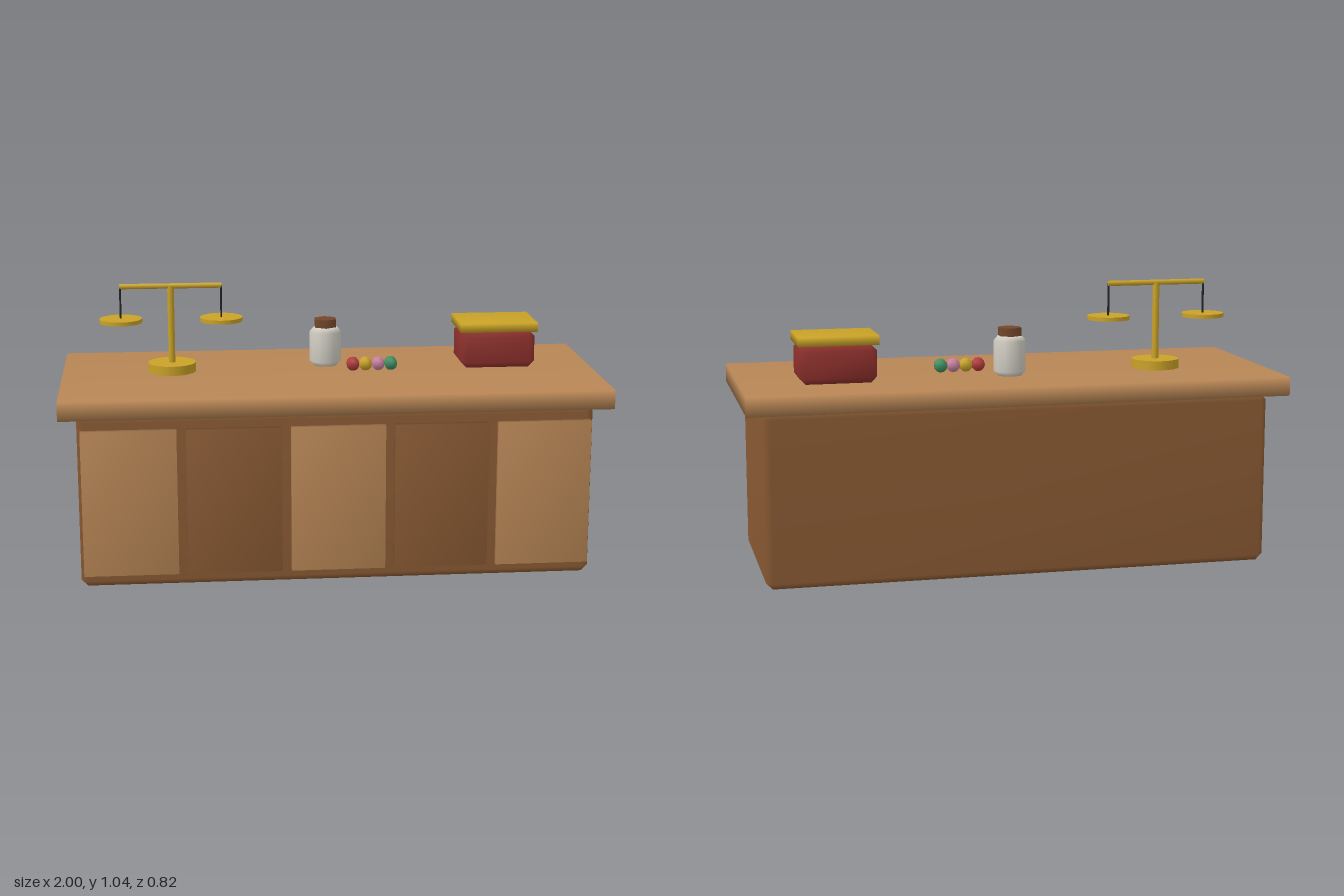
import * as THREE from 'three';
import { mergeVertices } from 'three/addons/utils/BufferGeometryUtils.js';
import { ConvexGeometry } from 'three/addons/geometries/ConvexGeometry.js';

const paint = (color) => new THREE.MeshStandardMaterial({ color });
const lightWood = paint(0xb88655), darkWood = paint(0x8a5a33), gold = paint(0xc9a227);
const red = paint(0x8f302c), iron = paint(0x222222), ceramic = paint(0xd2cec4), cork = paint(0x74482a);

// Welds shared corners so shading runs smoothly over the edges
function soften(geometry) {
  geometry.deleteAttribute('normal');
  geometry.deleteAttribute('uv');
  const welded = mergeVertices(geometry, 1e-4);
  welded.computeVertexNormals();
  return welded;
}

const softBox = (w, h, d) => soften(new THREE.BoxGeometry(w, h, d));

// Box with every edge cut at 45 degrees
function chamferBox(w, h, d, c) {
  const points = [];
  for (const x of [-w / 2, w / 2]) for (const y of [-h / 2, h / 2]) for (const z of [-d / 2, d / 2]) {
    const cx = x - Math.sign(x) * c, cy = y - Math.sign(y) * c, cz = z - Math.sign(z) * c;
    points.push(new THREE.Vector3(x, cy, cz), new THREE.Vector3(cx, y, cz), new THREE.Vector3(cx, cy, z));
  }
  return soften(new ConvexGeometry(points));
}

function add(parent, name, geometry, material, x, y, z) {
  const mesh = new THREE.Mesh(geometry, material);
  mesh.name = name;
  mesh.position.set(x, y, z);
  parent.add(mesh);
  return mesh;
}

function addGroup(parent, name, x, y, z) {
  const group = new THREE.Group();
  group.name = name;
  group.position.set(x, y, z);
  parent.add(group);
  return group;
}

export function createModel() {
  const model = new THREE.Group();
  model.name = 'shopCounter';
  const topY = 0.71;

  // Counter body, worktop and alternating front panels
  add(model, 'counterBody', chamferBox(1.876, 0.64, 0.704, 0.024), darkWood, 0, 0.32, 0);
  add(model, 'worktop', softBox(2, 0.07, 0.82), lightWood, 0, 0.675, 0);
  for (let i = 0; i < 5; i++) {
    add(model, 'frontPanel', softBox(0.343, 0.54, 0.03), i % 2 ? darkWood : lightWood, (i - 2) * 0.377, 0.32, 0.361);
  }

  // Balance scale
  const scale = addGroup(model, 'balanceScale', -0.59, topY, -0.06);
  add(scale, 'scaleBase', new THREE.CylinderGeometry(0.09, 0.09, 0.035, 20), gold, 0, 0.0175, 0);
  add(scale, 'scalePost', new THREE.CylinderGeometry(0.013, 0.013, 0.3, 10), gold, 0, 0.175, 0);
  const beam = add(scale, 'scaleBeam', new THREE.CylinderGeometry(0.01, 0.01, 0.38, 8), gold, 0, 0.325, 0);
  beam.rotation.z = Math.PI / 2;
  for (const side of [-1, 1]) {
    add(scale, 'panWire', new THREE.CylinderGeometry(0.004, 0.004, 0.125, 6), iron, side * 0.188, 0.262, 0);
    add(scale, 'scalePan', new THREE.CylinderGeometry(0.08, 0.08, 0.015, 20), gold, side * 0.188, 0.197, 0);
  }

  // Jar with a six-sided stopper
  const jar = addGroup(model, 'jar', -0.004, topY, -0.12);
  const profile = [[0, 0], [0.045, 0], [0.061, 0.018], [0.061, 0.13], [0.045, 0.148], [0, 0.148]];
  add(jar, 'jarBody', new THREE.LatheGeometry(profile.map(([r, y]) => new THREE.Vector2(r, y)), 12), ceramic, 0, 0, 0);
  add(jar, 'jarStopper', new THREE.CylinderGeometry(0.046, 0.046, 0.032, 6), cork, 0, 0.163, 0);

  // Row of sweets
  [0xb23a3a, 0xc9a227, 0xc77f9f, 0x3f8f63].forEach((color, i) => {
    const sweet = add(model, 'sweet', new THREE.SphereGeometry(0.027, 6, 6), paint(color), 0.09 + i * 0.048, 0.736, -0.003);
    sweet.rotation.y = Math.PI / 2;
  });

  // Lidded box
  const box = addGroup(model, 'liddedBox', 0.645, topY, -0.094);
  add(box, 'boxBody', chamferBox(0.282, 0.14, 0.212, 0.022), red, 0, 0.07, 0);
  add(box, 'boxLid', softBox(0.294, 0.034, 0.225), gold, 0, 0.157, 0);

  return model;
}
